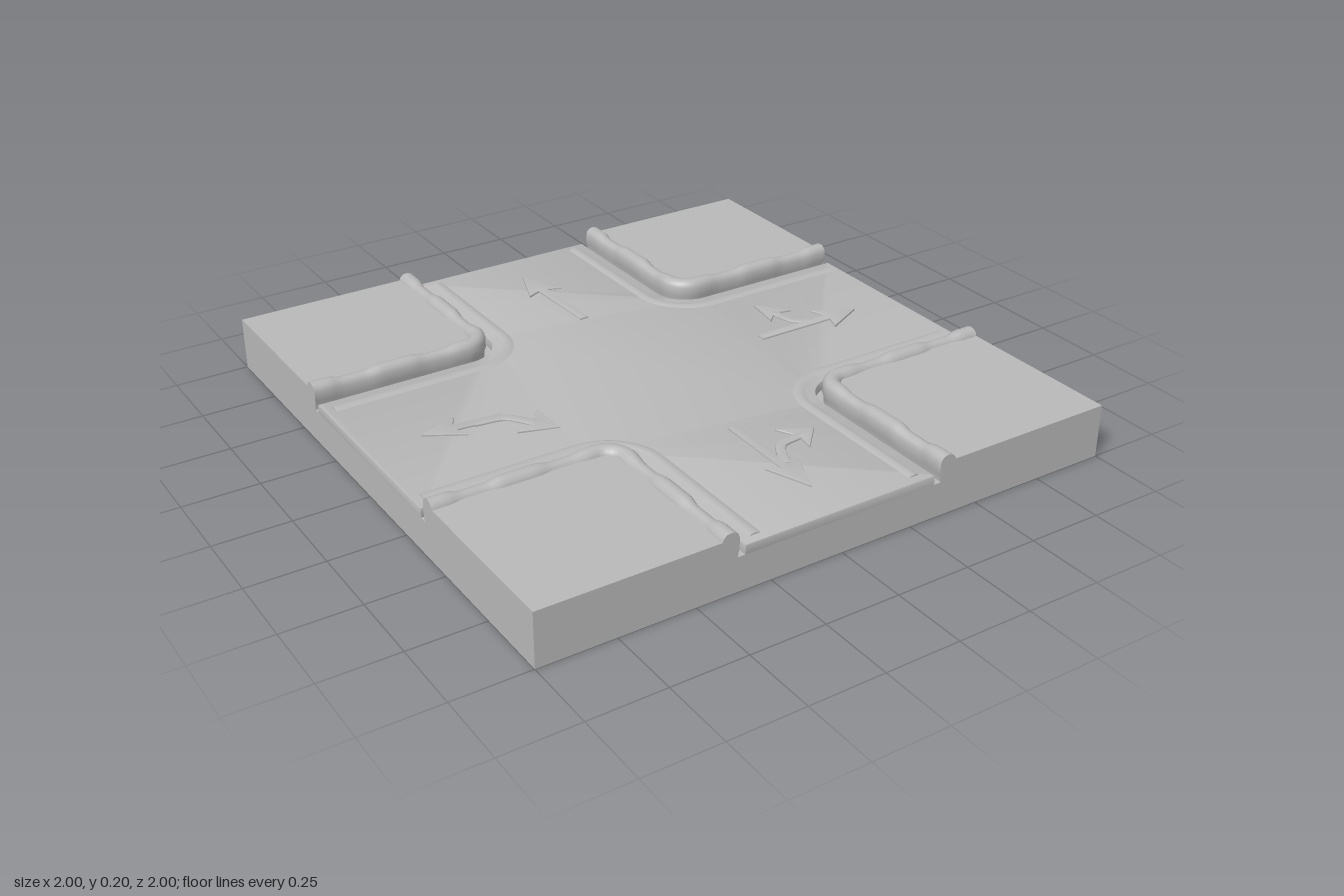
import * as THREE from 'three';
import { toCreasedNormals } from 'three/addons/utils/BufferGeometryUtils.js';

const RADIUS = 0.1; // rounding of the kerb corners

// Contour of one corner block, moved inward by d: arm along x, arc, arm along z
function contour(q, d, end = 1) {
  const pts = [], cu = q.a + RADIUS, cv = q.b + RADIUS, r = RADIUS - d, n = 30;
  for (let i = 0; i < n; i++) pts.push([end + (cu - end) * i / n, q.b + d]);
  for (let i = 0; i <= 12; i++) {
    const t = i / 12 * Math.PI / 2;
    pts.push([cu - r * Math.sin(t), cv - r * Math.cos(t)]);
  }
  for (let i = 1; i <= n; i++) pts.push([q.a + d, cv + (end - cv) * i / n]);
  return pts.map(([u, v]) => [u * q.sx, v * q.sz]);
}

// Sweep a closed [inset, height] section along a corner contour
function sweep(q, section, end, bulge) {
  const m = section.length, pos = [], idx = [];
  const rails = section.map(([d]) => contour(q, d, end));
  const narrow = section.map(([d]) => contour(q, 0.028 + (d - 0.028) * 0.82, end));
  const n = rails[0].length;
  for (let i = 0; i < n; i++) {
    const [px, pz] = rails[0][i];
    const k = bulge ? bulge(Math.max(Math.abs(px), Math.abs(pz))) : 1;
    for (let j = 0; j < m; j++) {
      const A = narrow[j][i], B = rails[j][i];
      pos.push(A[0] + (B[0] - A[0]) * k, section[j][1] - (1 - k) * 0.009, A[1] + (B[1] - A[1]) * k);
    }
  }
  const tri = (a, b, c) => (q.sx * q.sz > 0 ? idx.push(a, b, c) : idx.push(a, c, b));
  for (let i = 0; i < n - 1; i++) for (let j = 0; j < m; j++) {
    const k = (j + 1) % m, p = i * m, s = p + m;
    tri(p + j, s + j, p + k);
    tri(s + j, s + k, p + k);
  }
  for (let j = 1; j < m - 1; j++) {
    tri(0, j, j + 1);
    const e = (n - 1) * m;
    tri(e, e + j + 1, e + j);
  }
  const g = new THREE.BufferGeometry();
  g.setAttribute('position', new THREE.Float32BufferAttribute(pos, 3));
  g.setIndex(idx);
  return toCreasedNormals(g, 0.9);
}

// Flat plate from an [x, z] outline, between two heights
function plate(outline, y0, y1, bevel = 0, bevelHeight = bevel) {
  const shape = new THREE.Shape(outline.map(([x, z]) => new THREE.Vector2(x, -z)));
  const g = new THREE.ExtrudeGeometry(shape, {
    depth: y1 - y0 - 2 * bevelHeight, bevelEnabled: bevel > 0, bevelSize: bevel,
    bevelThickness: bevelHeight, bevelOffset: -bevel, bevelSegments: 2,
  });
  g.rotateX(-Math.PI / 2).translate(0, y0 + bevelHeight, 0);
  return toCreasedNormals(g, 0.7);
}

// Outline of an arrow: curved shaft through the points, then a head
function arrowOutline(points, headLength, headHalf, half = 0.016) {
  const curve = new THREE.CatmullRomCurve3(points.map(([x, z]) => new THREE.Vector3(x, 0, z)));
  const left = [], right = [], n = points.length > 2 ? 10 : 1;
  let p, t;
  for (let i = 0; i <= n; i++) {
    p = curve.getPoint(i / n);
    t = curve.getTangent(i / n);
    left.push([p.x - t.z * half, p.z + t.x * half]);
    right.unshift([p.x + t.z * half, p.z - t.x * half]);
  }
  const back = 0.02;
  const barb = (s) => [p.x - t.x * back - t.z * headHalf * s, p.z - t.z * back + t.x * headHalf * s];
  return [...left, barb(1), [p.x + t.x * headLength, p.z + t.z * headLength], barb(-1), ...right];
}

export function createModel() {
  const group = new THREE.Group();
  group.name = 'crossroadsTile';
  const grey = new THREE.MeshStandardMaterial({ color: 0xb8b8b8 });
  grey.name = 'stone grey';
  const add = (name, geometry) => {
    const mesh = new THREE.Mesh(geometry, grey);
    mesh.name = name;
    group.add(mesh);
  };

  // Base slab
  add('baseSlab', new THREE.BoxGeometry(2, 0.115, 2).translate(0, 0.0575, 0));

  const quadrants = [[1, 1], [-1, 1], [-1, -1], [1, -1]].map(([sx, sz]) => (
    { sx, sz, a: sx > 0 ? 0.352 : 0.36, b: sz > 0 ? 0.375 : 0.385 }));

  // Cross-shaped road, leaving a narrow gutter along the kerbs
  const road = quadrants.flatMap((q) => {
    const c = contour(q, -0.02);
    return q.sx * q.sz > 0 ? c : c.reverse();
  });
  add('road', plate(road, 0.1, 0.146, 0.005));

  // Kerb stones swell and narrow along their length
  const step = THREE.MathUtils.smoothstep;
  const bulge = (w) => Math.min(1, step(w, 0.9, 0.94) + (1 - step(w, 0.48, 0.55))
    + step(w, 0.6, 0.66) * (1 - step(w, 0.77, 0.82)));
  const kerb = [[0.006, 0.108], [0.005, 0.135], [0, 0.147], [0, 0.178], [0.005, 0.191], [0.015, 0.199],
    [0.028, 0.201], [0.041, 0.199], [0.052, 0.19], [0.058, 0.176], [0.058, 0.108]];
  const line = [[-0.097, 0.144], [-0.088, 0.148], [-0.075, 0.151], [-0.062, 0.15], [-0.05, 0.144]];

  for (const q of quadrants) {
    const name = (q.sz > 0 ? 'front' : 'back') + (q.sx > 0 ? 'Left' : 'Right');
    add(name + 'Pavement', plate([...contour(q, 0.03), [q.sx, q.sz]], 0.1, 0.179));
    add(name + 'Kerb', sweep(q, kerb, 1, bulge));
    add(name + 'EdgeLine', sweep(q, line, 0.97));
  }

  // Raised lane arrows: points, head length, head half width
  const arrows = {
    backStraightArrow: [[[0.01, -0.44], [0, -0.71]], 0.14, 0.065],
    leftStraightArrow: [[[0.43, 0.005], [0.71, 0.005]], 0.12, 0.07],
    leftTurnArrow: [[[0.66, 0.0], [0.6, -0.04], [0.58, -0.11]], 0.1, 0.055],
    rightStraightArrow: [[[-0.55, 0.015], [-0.71, 0]], 0.11, 0.06],
    rightTurnArrow: [[[-0.65, 0.01], [-0.55, 0.03], [-0.495, 0.1]], 0.09, 0.075],
    frontStraightArrow: [[[0, 0.45], [-0.005, 0.73]], 0.13, 0.06],
    frontTurnArrow: [[[0.01, 0.71], [0.06, 0.62], [0.13, 0.605]], 0.08, 0.07],
  };
  for (const [name, [points, length, half]] of Object.entries(arrows)) {
    add(name, plate(arrowOutline(points, length, half), 0.14, 0.153, 0.006, 0.004));
  }

  return group;
}
